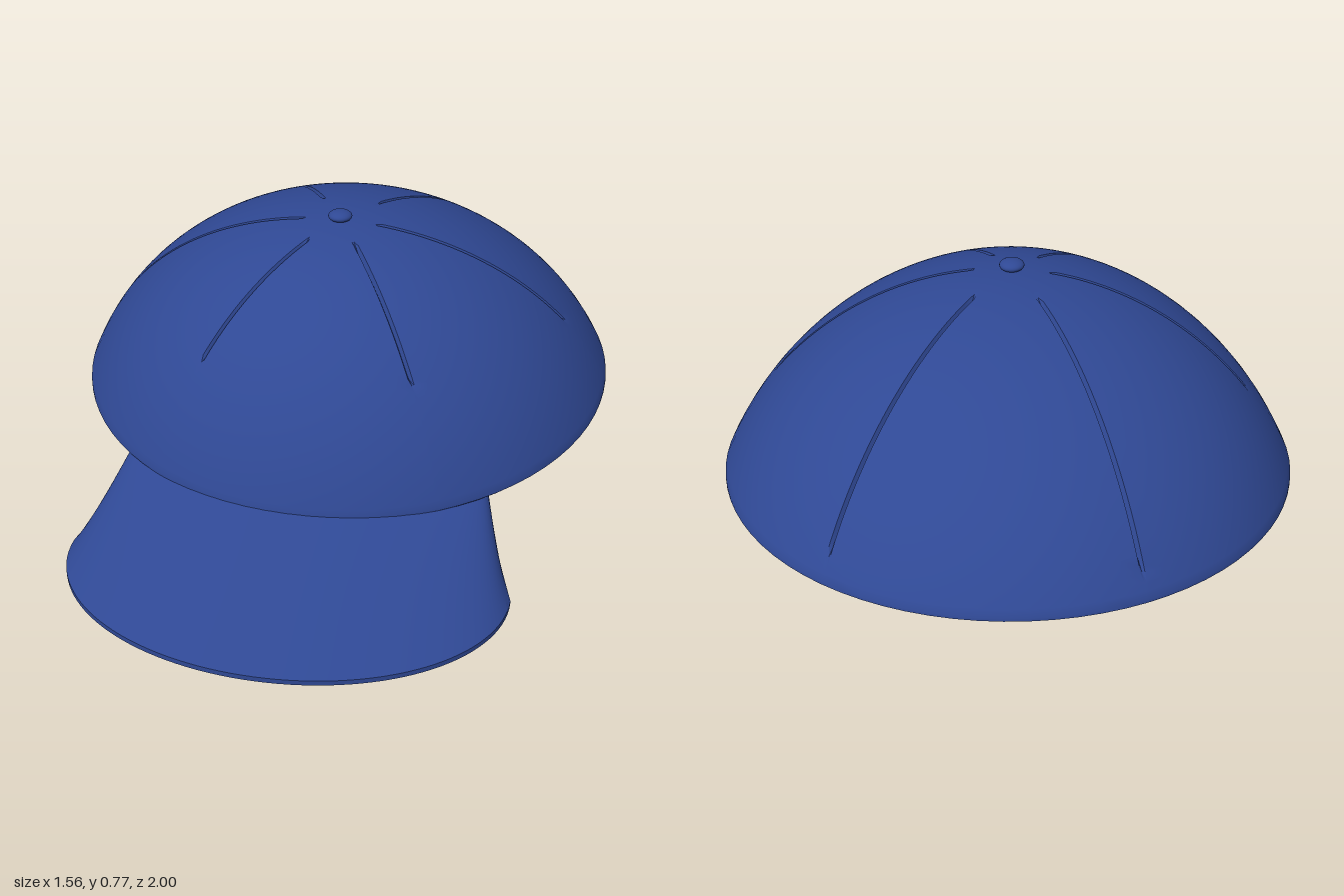
import * as THREE from 'three';
import { toCreasedNormals } from 'three/addons/utils/BufferGeometryUtils.js';

// Surface through a list of closed loops of equal length
function loft(loops, crease) {
  const n = loops[0].length, index = [];
  for (let i = 0; i < loops.length - 1; i++) {
    for (let j = 0; j < n; j++) {
      const a = i * n + j, b = i * n + (j + 1) % n;
      index.push(a, b, a + n, b, b + n, a + n);
    }
  }
  const g = new THREE.BufferGeometry();
  g.setAttribute('position', new THREE.Float32BufferAttribute(loops.flat(2), 3));
  g.setIndex(index);
  return toCreasedNormals(g, crease);
}

// Domed shell: spherical rings that slide back towards a tilted rim,
// with six stitched grooves on the outside
function crownGeometry() {
  const R = 0.862, centreY = -0.117, phiMax = 1.131, rimR = 0.78;
  const steps = 48, perPanel = 14, grooveWidth = 0.006, grooveDepth = 0.014;
  const grooveStart = [0.1, 0.13, 0.13, 0.1, 0.16, 0.16];
  const grooveEnd = [0.65, 0.58, 0.58, 0.65, 0.76, 0.76];

  const ring = (radius, phi, grooved) => {
    const loop = [], r0 = radius * Math.sin(phi);
    const centreZ = -0.10 - 0.12 * Math.min(1, (r0 / rimR) ** 2);
    const put = (theta, depth) => {
      const r = (radius - depth) * Math.sin(phi);
      const y = centreY + (radius - depth) * Math.cos(phi);
      const dz = r * Math.sin(theta);
      loop.push([r * Math.cos(theta), y - 0.07 * dz, centreZ + dz]);
    };
    for (let s = 0; s < 6; s++) {
      const seam = s * Math.PI / 3, w = grooveWidth / Math.max(r0, 0.1);
      const fade = Math.min(r0 - grooveStart[s], grooveEnd[s] - r0) / 0.03;
      const depth = grooved ? grooveDepth * THREE.MathUtils.clamp(fade, 0, 1) : 0;
      put(seam - w, 0);
      put(seam, depth);
      put(seam + w, 0);
      for (let k = 1; k < perPanel; k++) put(seam + k / perPanel * Math.PI / 3, 0);
    }
    return loop;
  };

  const loops = [];
  for (let i = 0; i <= steps; i++) loops.push(ring(R, phiMax * i / steps, true));
  // rounded rim
  loops.push(ring(R - 0.003, phiMax + 0.009, false));
  loops.push(ring(R - 0.012, phiMax + 0.012, false));
  loops.push(ring(R - 0.020, phiMax + 0.006, false));
  // lining
  for (let i = steps; i >= 0; i -= 2) loops.push(ring(R - 0.023, phiMax * i / steps, false));
  return loft(loops, 0.6);
}

// Curved peak: ruled between an arc under the rim and a half-ellipse,
// with its back corners turned down
function brimGeometry() {
  const across = 64, along = 16, thickness = 0.014;
  const point = (u, v, drop) => {
    const a = u * Math.PI / 2;
    const backX = 0.51 * Math.sin(a);
    const backZ = -0.22 + Math.sqrt(0.755 ** 2 - backX ** 2);
    const backY = 0.205 - 0.08 * Math.abs(u) ** 14;
    const frontY = 0.034 - 0.014 * u * u;
    const sag = 0.012 * Math.sin(Math.PI * v) * u * u;
    return [
      THREE.MathUtils.lerp(backX, 0.6 * Math.sin(a), v),
      THREE.MathUtils.lerp(backY, frontY, v) - sag - drop,
      THREE.MathUtils.lerp(backZ, 0.57 + 0.43 * Math.cos(a), v),
    ];
  };
  const section = (u, t) => {
    const loop = [];
    for (let j = 0; j <= along; j++) loop.push(point(u, j / along, 0));
    for (let j = along; j >= 0; j--) loop.push(point(u, j / along, t));
    return loop;
  };
  const loops = [section(-1, 0)];
  for (let i = 0; i <= across; i++) loops.push(section(i / across * 2 - 1, thickness));
  loops.push(section(1, 0));
  return loft(loops, 0.7);
}

export function createModel() {
  const group = new THREE.Group();
  group.name = 'cap';
  const fabric = new THREE.MeshStandardMaterial({ color: 0x2f4894, side: THREE.DoubleSide });
  fabric.name = 'blueFabric';

  const add = (name, geometry, y = 0, z = 0) => {
    const mesh = new THREE.Mesh(geometry, fabric);
    mesh.name = name;
    mesh.position.set(0, y, z);
    group.add(mesh);
    return mesh;
  };

  add('crown', crownGeometry());
  add('brim', brimGeometry());

  // Button on top, with its pin reaching through to the lining
  add('topButton', new THREE.SphereGeometry(0.034, 32, 16), 0.757, -0.10).scale.y = 0.47;
  add('buttonPin', new THREE.CylinderGeometry(0.018, 0.006, 0.05, 16), 0.728, -0.10);

  return group;
}
